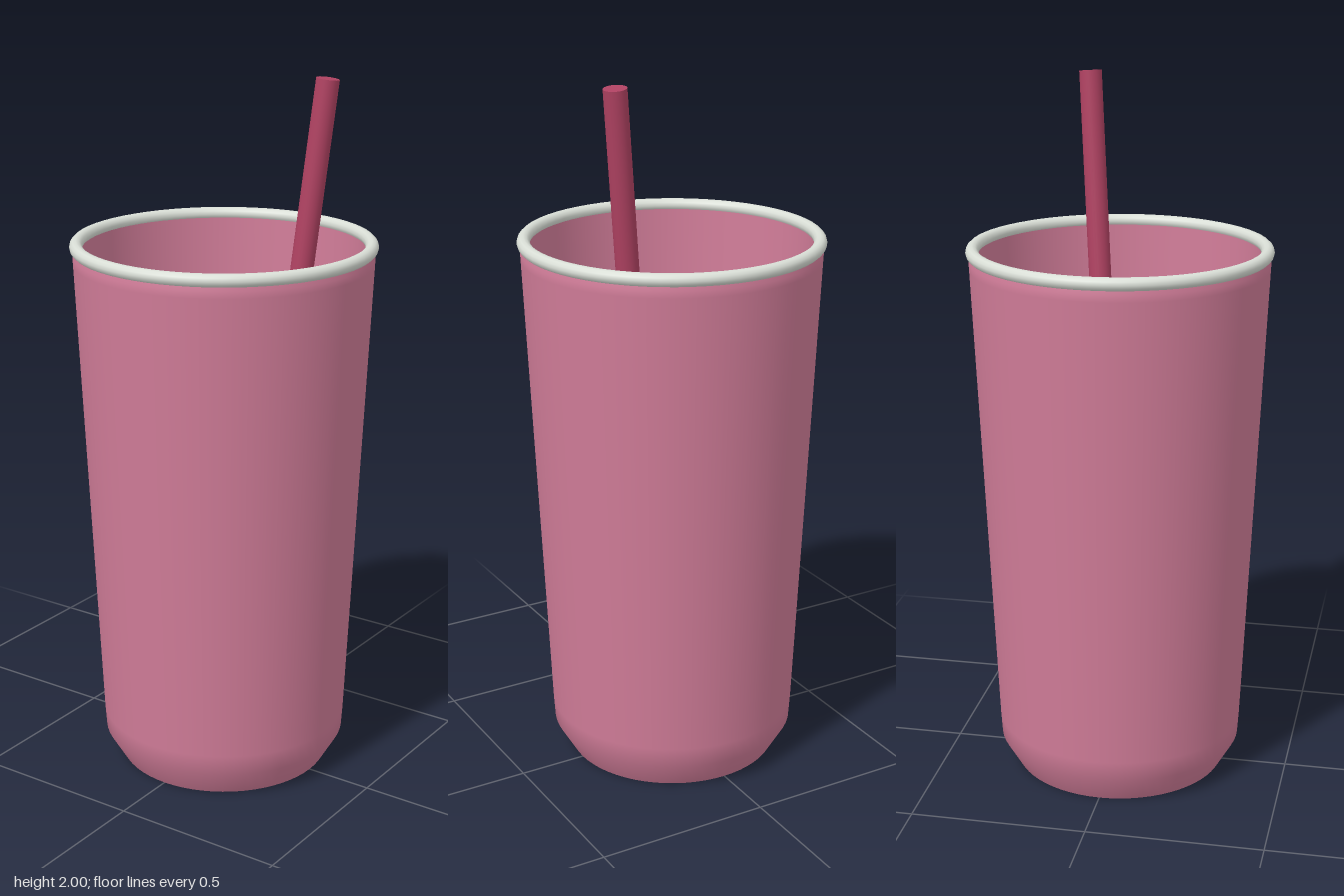
import * as THREE from 'three';
import { RoundedBoxGeometry } from 'three/addons/geometries/RoundedBoxGeometry.js';

const mat = (name, color) => {
  const m = new THREE.MeshStandardMaterial({ color });
  m.name = name;
  return m;
};

export function createModel() {
  const group = new THREE.Group();
  const pink = mat('cup pink', 0xd07c98);
  const pale = mat('pale ice', 0xd9ded6);
  const drink = mat('drink', 0xd9bcbb);
  const crimson = mat('straw crimson', 0xb04262);

  const add = (name, geometry, material, x = 0, y = 0, z = 0) => {
    const mesh = new THREE.Mesh(geometry, material);
    mesh.name = name;
    mesh.position.set(x, y, z);
    group.add(mesh);
    return mesh;
  };
  const lathe = (pts) => new THREE.LatheGeometry(pts.map(([r, y]) => new THREE.Vector2(r, y)), 64);

  // Tapered cup: outer wall, inner wall and base
  add('cupOuterWall', lathe([[0.305, 0], [0.352, 0.08], [0.356, 0.14], [0.418, 1.49], [0.419, 1.51], [0.41, 1.54]]), pink);
  add('cupInnerWall', lathe([[0.395, 1.54], [0.385, 1.28], [0.335, 0.1]]), pink);
  add('cupBase', new THREE.CircleGeometry(0.305, 64), pink).rotation.x = Math.PI / 2;

  // Rounded rim
  add('rim', new THREE.TorusGeometry(0.409, 0.0185, 12, 64), pale, 0, 1.537, 0).rotation.x = Math.PI / 2;

  // Drink surface
  add('drinkSurface', new THREE.CircleGeometry(0.385, 64), drink, 0, 1.28, 0).rotation.x = -Math.PI / 2;

  // Floating ice cubes: x, y, z, turn
  [
    [-0.145, 1.255, 0.035, 0],
    [-0.02, 1.26, -0.185, 0.62],
    [0.132, 1.255, -0.03, 0.28],
  ].forEach(([x, y, z, turn], i) => {
    const cube = add(`iceCube${i + 1}`, new RoundedBoxGeometry(0.17, 0.16, 0.16, 3, 0.03), pale, x, y, z);
    cube.rotation.set(0.05, turn, 0, 'YXZ');
  });

  // Leaning straw
  const top = new THREE.Vector3(0.245, 1.996, -0.134);
  const foot = new THREE.Vector3(0.125, 0.8, -0.055);
  const axis = top.clone().sub(foot);
  const mid = top.clone().add(foot).multiplyScalar(0.5);
  const straw = add('straw', new THREE.CylinderGeometry(0.032, 0.032, axis.length(), 24), crimson, mid.x, mid.y, mid.z);
  straw.quaternion.setFromUnitVectors(new THREE.Vector3(0, 1, 0), axis.normalize());

  return group;
}
